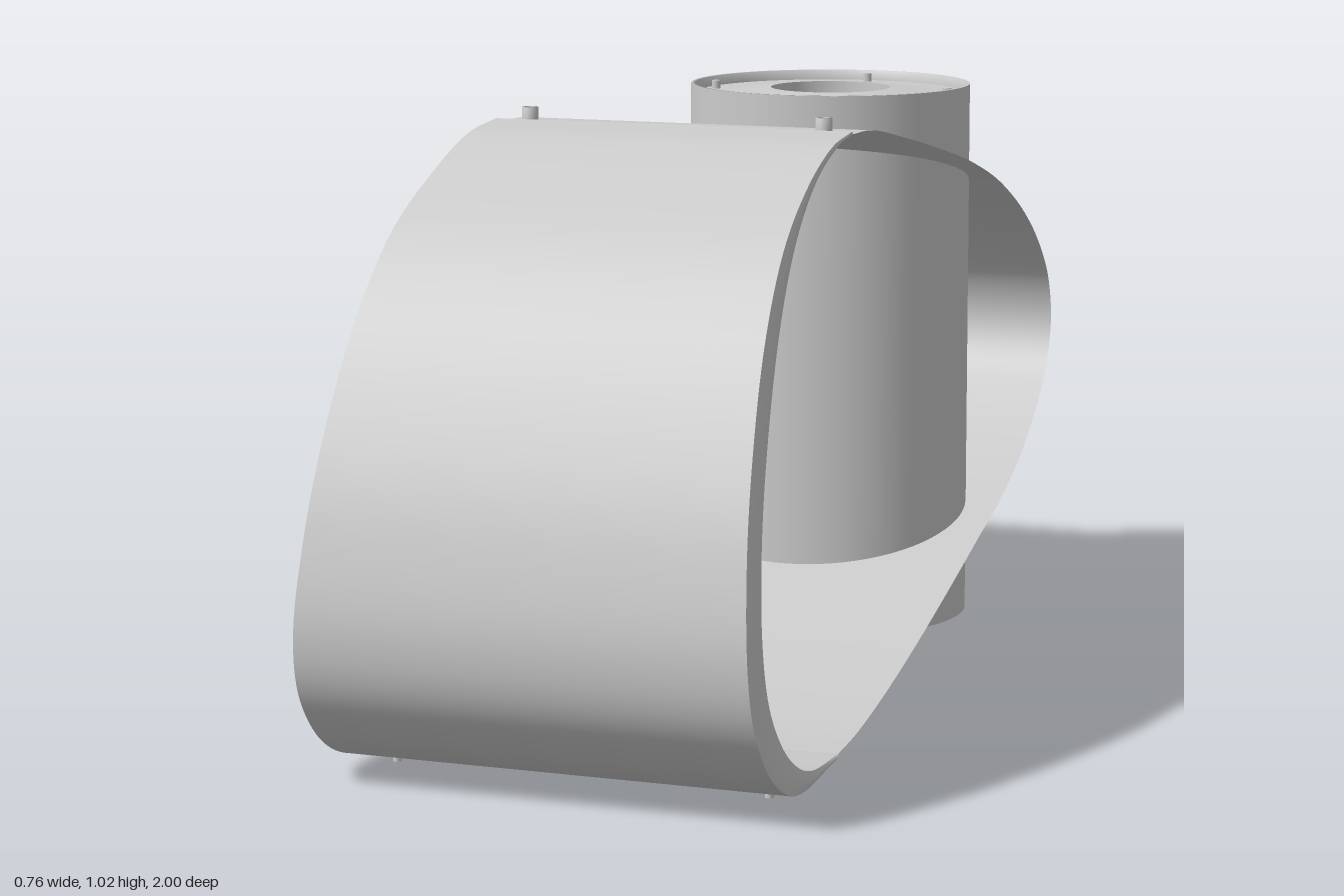
import * as THREE from 'three';

const material = new THREE.MeshStandardMaterial({ color: 0xcccccc, side: THREE.DoubleSide });
const COLUMN = { z: -0.52, r: 0.258, bore: 0.11, bottom: 0.01, top: 1.0 };

function mesh(name, geometry, x = 0, y = 0, z = 0) {
  const m = new THREE.Mesh(geometry, material);
  m.name = name;
  m.position.set(x, y, z);
  return m;
}

// Smooth curve through points, sampled evenly by parameter
function smooth(points, samples) {
  return new THREE.CatmullRomCurve3(points.map(p => new THREE.Vector3(...p)), false, 'centripetal').getPoints(samples);
}

// Surface through equal-length rows of Vector3
function loft(rows) {
  const n = rows[0].length, index = [];
  for (let i = 0; i < rows.length - 1; i++) {
    for (let j = 0; j < n - 1; j++) {
      const a = i * n + j, b = a + n;
      index.push(a, a + 1, b, b, a + 1, b + 1);
    }
  }
  const g = new THREE.BufferGeometry().setFromPoints(rows.flat());
  g.setIndex(index);
  g.computeVertexNormals();
  return g;
}

// Row of points across a ruled strip, from x0 to x1
const across = (x0, x1, p) => [0, 0.5, 1].map(t => new THREE.Vector3(x0 + (x1 - x0) * t, p.y, p.z));

export function createModel() {
  const model = new THREE.Group();

  // Thin band: [half width, y, z], from the top seam round the back to the bottom
  const bandPath = smooth([
    [0.31, 1.0, 0.31], [0.31, 0.996, 0.2], [0.309, 0.962, 0], [0.308, 0.91, -0.26], [0.307, 0.873, -0.42],
    [0.306, 0.818, -0.6], [0.304, 0.738, -0.78], [0.302, 0.66, -0.9], [0.3, 0.585, -0.974], [0.3, 0.505, -0.997],
    [0.3, 0.43, -0.974], [0.302, 0.355, -0.9], [0.306, 0.282, -0.78], [0.314, 0.22, -0.6], [0.321, 0.178, -0.42],
    [0.328, 0.142, -0.26], [0.338, 0.085, 0], [0.347, 0.045, 0.22], [0.355, 0.022, 0.4], [0.361, 0.017, 0.52]
  ], 400);
  const band = new THREE.Group();
  band.name = 'band';
  for (const side of [-1, 1]) {
    band.add(mesh('bandHalf', loft(bandPath.map(p => {
      // Opening where the column passes through
      const d = 0.25 ** 2 - (p.z - COLUMN.z) ** 2;
      return across(side * Math.sqrt(Math.max(d, 0)), side * p.x, p);
    }))));
  }
  model.add(band);

  // Thick front shell: paired outer and inner profiles
  const outer = smooth([
    [0.314, 1.006, 0.32], [0.317, 0.992, 0.43], [0.321, 0.945, 0.56], [0.331, 0.86, 0.71], [0.342, 0.73, 0.83],
    [0.355, 0.56, 0.924], [0.365, 0.42, 0.974], [0.375, 0.27, 0.999], [0.379, 0.17, 0.98], [0.381, 0.085, 0.915],
    [0.381, 0.033, 0.83], [0.376, 0.013, 0.74], [0.363, 0.012, 0.54]
  ], 120);
  const inner = smooth([
    [0.31, 1.0, 0.31], [0.313, 0.985, 0.4], [0.317, 0.945, 0.51], [0.327, 0.862, 0.64], [0.337, 0.74, 0.745],
    [0.35, 0.57, 0.84], [0.36, 0.43, 0.892], [0.369, 0.29, 0.914], [0.373, 0.19, 0.895], [0.374, 0.11, 0.835],
    [0.374, 0.061, 0.765], [0.37, 0.032, 0.68], [0.361, 0.017, 0.52]
  ], 120);
  const shell = new THREE.Group();
  shell.name = 'frontShell';
  shell.add(mesh('outerPanel', loft(outer.map(p => across(-p.x, p.x, p)))));
  shell.add(mesh('innerPanel', loft(inner.map(p => across(-p.x, p.x, p)))));
  for (const side of [-1, 1]) {
    shell.add(mesh('sideWall', loft(outer.map((p, i) => [0, 0.25, 0.5, 0.75, 1].map(t => {
      const q = p.clone().lerp(inner[i], t);
      q.x = side * (q.x + 0.003 * Math.sin(Math.PI * t));
      return q;
    })))));
  }
  for (const i of [0, 120]) {
    shell.add(mesh('seamEdge', loft([outer[i], inner[i]].map(p => across(-p.x, p.x, p)))));
  }
  model.add(shell);

  // Hollow column with shallow dished ends; separate lathes keep the edges sharp
  const column = new THREE.Group();
  column.name = 'column';
  const { r, bore, bottom, top } = COLUMN;
  const lathes = {
    columnWall: [[r, bottom], [r, top]],
    topLip: [[r, top], [0.25, top], [0.248, top - 0.018]],
    topDish: [[0.248, top - 0.018], [0.2, top - 0.018], [0.15, top - 0.012], [bore, top - 0.008]],
    bore: [[bore, top - 0.008], [bore, bottom + 0.008]],
    bottomDish: [[bore, bottom + 0.008], [0.15, bottom + 0.012], [0.2, bottom + 0.018], [0.248, bottom + 0.018]],
    bottomLip: [[0.248, bottom + 0.018], [0.25, bottom], [r, bottom]]
  };
  for (const [name, pts] of Object.entries(lathes)) {
    column.add(mesh(name, new THREE.LatheGeometry(pts.map(p => new THREE.Vector2(...p)), 72)));
  }
  // Four pins at each end
  for (let k = 0; k < 4; k++) {
    const a = k * Math.PI / 2, x = 0.225 * Math.cos(a), z = 0.225 * Math.sin(a);
    column.add(mesh('topPin', new THREE.CylinderGeometry(0.008, 0.008, 0.016, 16), x, top - 0.011, z));
    column.add(mesh('bottomPin', new THREE.CylinderGeometry(0.006, 0.006, 0.026, 16), x, 0.015, z));
  }
  column.position.z = COLUMN.z;
  model.add(column);

  // Pegs on the top seam and feet under the front
  for (const side of [-1, 1]) {
    const ring = [[0.007, 0], [0.007, 0.026], [0.014, 0.026], [0.014, 0]].map(p => new THREE.Vector2(...p));
    model.add(mesh('topPeg', new THREE.LatheGeometry(ring, 24), side * 0.26, 0.999, 0.3));
    model.add(mesh('frontFoot', new THREE.CylinderGeometry(0.007, 0.007, 0.016, 16), side * 0.32, 0.008, 0.74));
  }
  return model;
}
